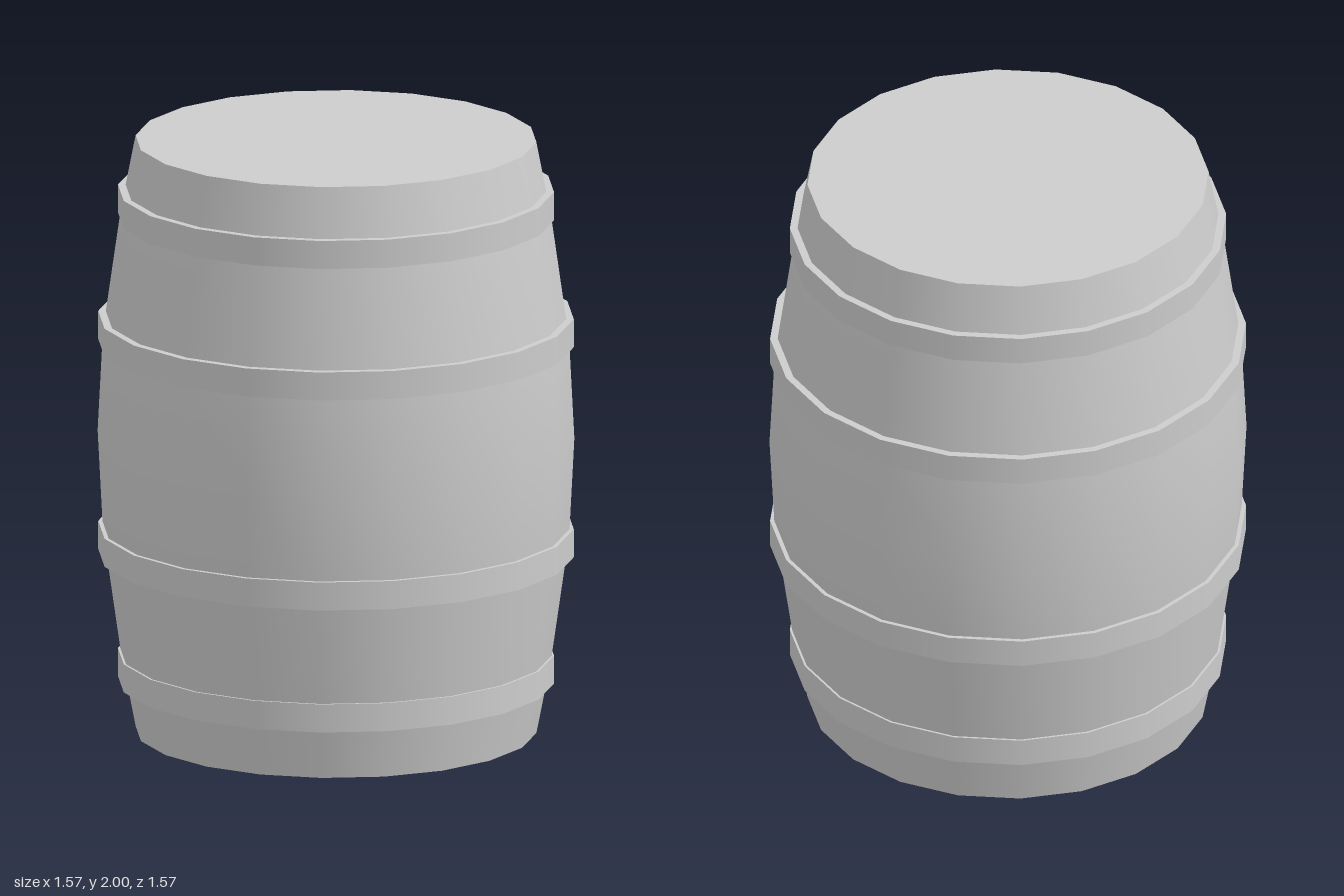
import * as THREE from 'three';
import { mergeGeometries } from 'three/addons/utils/BufferGeometryUtils.js';

const SIDES = 20;

// Revolves a profile of [radius, height] pairs, listed bottom to top on the outside.
const revolve = (points) =>
  new THREE.LatheGeometry(points.map(([r, y]) => new THREE.Vector2(r, y)), SIDES);

export function createModel() {
  const model = new THREE.Group();
  const grey = new THREE.MeshStandardMaterial({ color: 0xcccccc });
  grey.name = 'light grey';

  const add = (name, geometry) => {
    const mesh = new THREE.Mesh(geometry, grey);
    mesh.name = name;
    model.add(mesh);
  };

  // Bulging stave wall, mirrored about mid height
  const lower = [[0.66, 0], [0.693, 0.17], [0.71, 0.26], [0.757, 0.59], [0.769, 0.69]];
  const upper = lower.map(([r, y]) => [r, 2 - y]).reverse();
  add('staves', revolve([...lower, [0.785, 1], ...upper]));

  // Flat heads closing both ends
  add('bottomHead', revolve([[0, 0], [0.66, 0]]));
  add('topHead', revolve([[0.66, 2], [0, 2]]));

  // Hoops: outer wall with sharp ledges running into the staves
  const hoops = [
    ['bottomHoop', 0.168, 0.718],
    ['lowerMiddleHoop', 0.597, 0.783],
    ['upperMiddleHoop', 1.308, 0.783],
    ['topHoop', 1.737, 0.718],
  ];
  for (const [name, y, r] of hoops) {
    const top = y + 0.095;
    const inner = r - 0.04;
    add(name, mergeGeometries([
      revolve([[inner, y], [r, y]]),
      revolve([[r, y], [r, top]]),
      revolve([[r, top], [inner, top]]),
    ]));
  }

  return model;
}
